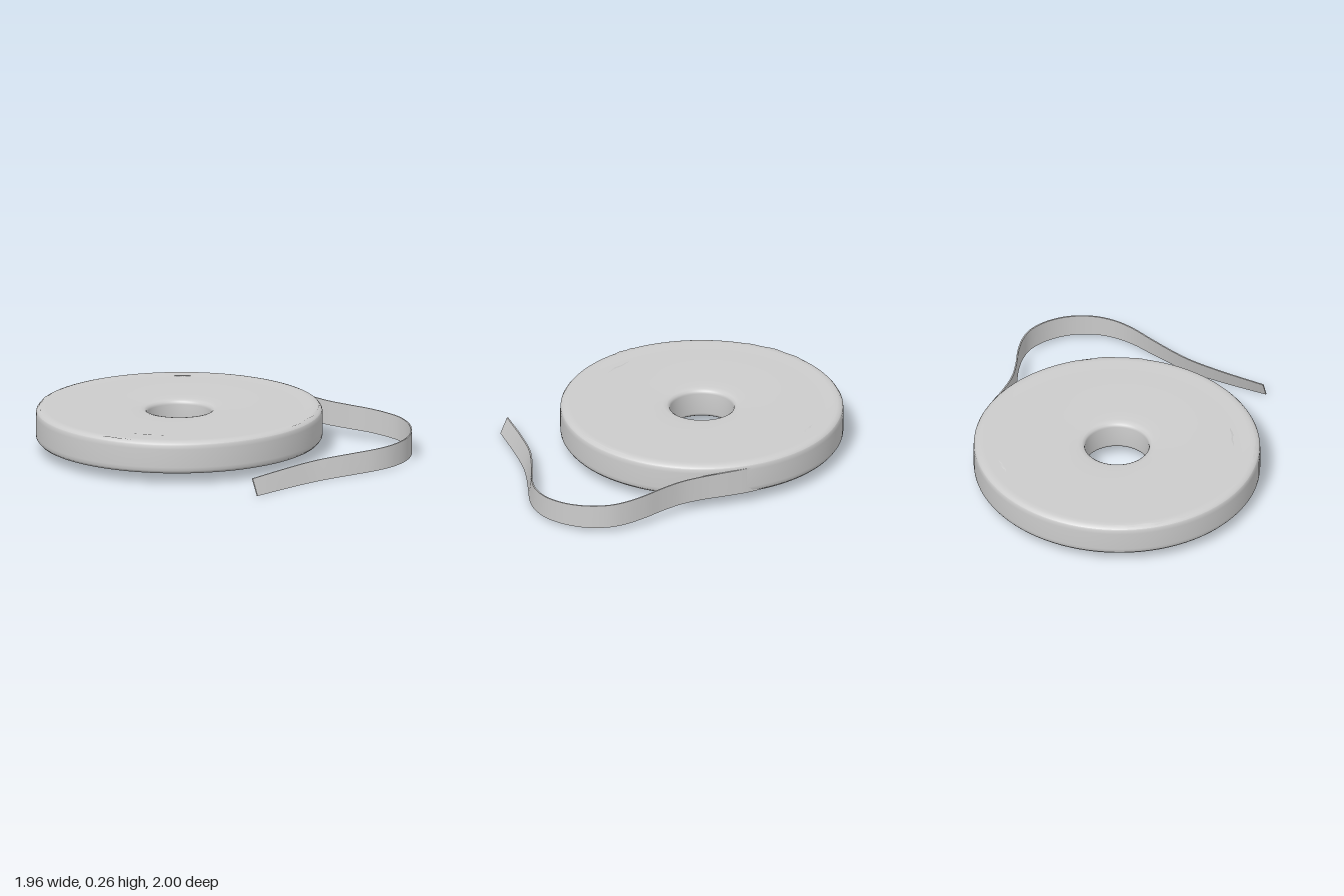
import * as THREE from 'three';

const grey = new THREE.MeshStandardMaterial({ color: 0xcccccc });
grey.name = 'grey tape';

function meshFrom(positions, indices, name) {
  const geometry = new THREE.BufferGeometry();
  geometry.setAttribute('position', new THREE.Float32BufferAttribute(positions, 3));
  geometry.setIndex(indices);
  geometry.computeVertexNormals();
  const mesh = new THREE.Mesh(geometry, grey);
  mesh.name = name;
  return mesh;
}

// Lathe with a slightly oval outer edge around a round hole
function makeRing(profile, name) {
  const geometry = new THREE.LatheGeometry(profile.map(([r, y]) => new THREE.Vector2(r, y)), 96);
  const pos = geometry.attributes.position;
  for (let i = 0; i < pos.count; i++) {
    const r = Math.hypot(pos.getX(i), pos.getZ(i));
    pos.setZ(i, pos.getZ(i) * (1 - 0.018 * (r - 0.188) / 0.662));
  }
  const mesh = new THREE.Mesh(geometry, grey);
  mesh.name = name;
  return mesh;
}

// Raised crease along an arc of the upper face, sinking away at both ends
function makeCrease(fromDegrees, toDegrees, radius, crest) {
  const positions = [], indices = [], steps = 24;
  for (let i = 0; i <= steps; i++) {
    const a = THREE.MathUtils.degToRad(THREE.MathUtils.lerp(fromDegrees, toDegrees, i / steps));
    const sink = 0.012 * (1 - Math.sin(Math.PI * i / steps));
    const wave = 0.004 * Math.sin(i * 1.3);
    for (const [dr, dy] of [[-0.03, -0.006], [0, 0], [0.019, -0.026]]) {
      const r = radius + dr + (dr ? 0 : wave);
      positions.push(r * Math.cos(a), crest + dy - sink, r * Math.sin(a) * 0.983);
    }
    if (i < steps) for (const k of [0, 1]) {
      const c = i * 3 + k;
      indices.push(c, c + 3, c + 1, c + 1, c + 3, c + 4);
    }
  }
  return meshFrom(positions, indices, 'crease');
}

// Wound roll: two faces dipping towards the hole, wrapped by an outer band
function makeRoll() {
  const roll = new THREE.Group();
  roll.name = 'roll';
  roll.position.set(-0.13, 0, -0.165);
  roll.add(makeRing([
    [0.844, 0.249], [0.834, 0.26], [0.815, 0.265], [0.79, 0.267], [0.75, 0.264], [0.7, 0.265],
    [0.45, 0.264], [0.3, 0.261], [0.23, 0.257], [0.206, 0.252], [0.193, 0.243], [0.188, 0.228],
    [0.188, 0.165], [0.188, 0.1], [0.193, 0.086], [0.206, 0.077], [0.23, 0.073], [0.3, 0.069],
    [0.45, 0.066], [0.7, 0.065], [0.79, 0.066], [0.815, 0.067], [0.834, 0.072], [0.844, 0.083],
  ], 'woundCore'));
  roll.add(makeRing([
    [0.842, 0.081], [0.848, 0.09], [0.85, 0.11], [0.85, 0.165], [0.85, 0.22], [0.848, 0.242], [0.842, 0.251],
  ], 'outerBand'));
  // Rim folds, then the two fainter lines further in
  for (const arc of [
    [193, 250, 0.826, 0.268], [138, 166, 0.826, 0.267], [19, 88, 0.826, 0.268],
    [-67, -42, 0.725, 0.267], [118, 162, 0.69, 0.267],
  ]) roll.add(makeCrease(...arc));
  return roll;
}

// Loose strip: x, z, bottom height, top height, outward lean of the bottom edge
function makeStrip() {
  const stations = [
    [0.625, -0.5, 0.078, 0.235, 0], [0.69, -0.36, 0.076, 0.234, 0], [0.722, -0.22, 0.073, 0.228, 0],
    [0.745, -0.08, 0.07, 0.22, 0], [0.782, 0.06, 0.066, 0.213, 0],
    [0.84, 0.18, 0.06, 0.206, 0], [0.91, 0.3, 0.052, 0.197, 0],
    [0.96, 0.42, 0.042, 0.187, 0], [0.977, 0.52, 0.036, 0.18, 0],
    [0.952, 0.65, 0.029, 0.171, 0], [0.88, 0.775, 0.024, 0.162, 0],
    [0.77, 0.87, 0.019, 0.153, 0.002], [0.65, 0.917, 0.015, 0.146, 0.006],
    [0.53, 0.928, 0.012, 0.14, 0.012], [0.37, 0.914, 0.008, 0.133, 0.02],
    [0.2, 0.901, 0.006, 0.127, 0.028], [0.08, 0.901, 0.005, 0.122, 0.033],
    [-0.12, 0.926, 0.005, 0.114, 0.036], [-0.39, 0.976, 0.006, 0.104, 0.04],
  ];
  const curve = (f) => new THREE.CatmullRomCurve3(stations.map(f));
  const path = curve(([x, z]) => new THREE.Vector3(x, 0, z));
  const shape = curve(([, , low, high, lean]) => new THREE.Vector3(low, high, lean));
  const steps = 120, half = 0.004;
  const positions = [], indices = [];
  const addCorner = (i, side, up) => {
    const p = path.getPoint(i / steps), t = path.getTangent(i / steps), s = shape.getPoint(i / steps);
    const offset = side * half + (0.5 - up) * s.z;
    positions.push(p.x + t.z * offset, up ? s.y : s.x, p.z - t.x * offset);
  };
  // Each side has its own vertices so the long edges stay sharp
  const corners = [[1, 0], [1, 1], [-1, 1], [-1, 0]];
  corners.forEach((corner, k) => {
    const start = positions.length / 3;
    for (let i = 0; i <= steps; i++) {
      addCorner(i, ...corner);
      addCorner(i, ...corners[(k + 1) % 4]);
      const a = start + i * 2;
      if (i < steps) indices.push(a, a + 1, a + 2, a + 1, a + 3, a + 2);
    }
  });
  // End caps
  for (const i of [0, steps]) {
    const a = positions.length / 3;
    for (const corner of corners) addCorner(i, ...corner);
    if (i) indices.push(a, a + 1, a + 2, a, a + 2, a + 3);
    else indices.push(a, a + 2, a + 1, a, a + 3, a + 2);
  }
  return meshFrom(positions, indices, 'looseStrip');
}

export function createModel() {
  const model = new THREE.Group();
  model.name = 'tapeRoll';
  model.add(makeRoll(), makeStrip());
  return model;
}
